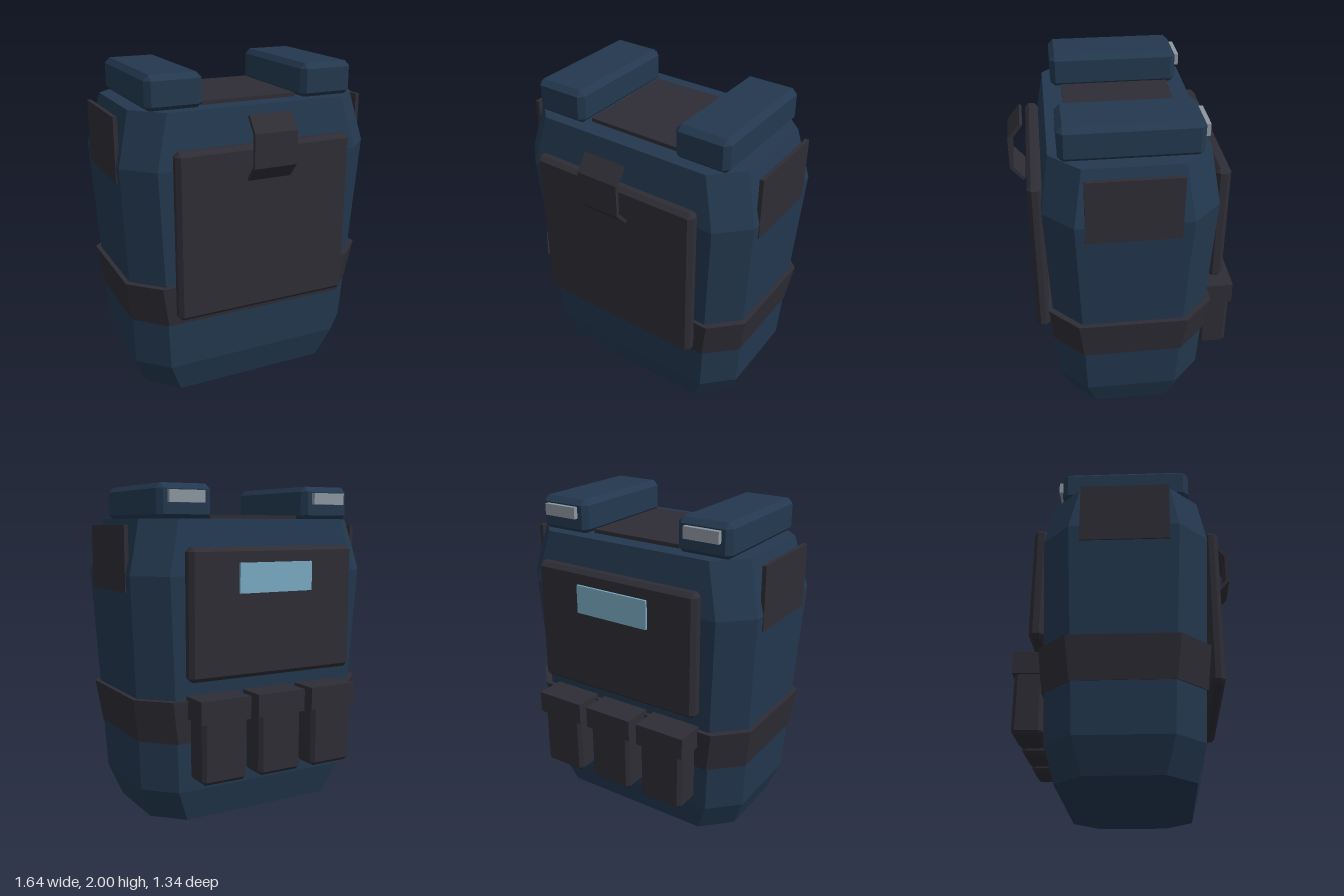
import * as THREE from 'three';
import { ConvexGeometry } from 'three/addons/geometries/ConvexGeometry.js';

const mat = (name, color) => {
  const m = new THREE.MeshStandardMaterial({ color });
  m.name = name;
  return m;
};

// Eight-sided loft with flat facets; each ring is [y, halfX, halfZ, cornerCut]
function loft(rings, cz) {
  const loops = rings.map(([y, x, z, c]) => [
    [x, z - c], [x - c, z], [c - x, z], [-x, z - c],
    [-x, c - z], [c - x, -z], [x - c, -z], [x, c - z],
  ].map(([px, pz]) => [px, y, pz + cz]));
  const pos = [];
  const tri = (a, b, c) => pos.push(...a, ...b, ...c);
  for (let r = 0; r < loops.length - 1; r++) {
    const lo = loops[r], hi = loops[r + 1];
    for (let i = 0; i < 8; i++) {
      const j = (i + 1) % 8;
      tri(lo[i], hi[j], lo[j]);
      tri(lo[i], hi[i], hi[j]);
    }
  }
  const bottom = loops[0], top = loops[loops.length - 1];
  for (let i = 1; i < 7; i++) {
    tri(bottom[0], bottom[i], bottom[i + 1]);
    tri(top[0], top[i + 1], top[i]);
  }
  const g = new THREE.BufferGeometry();
  g.setAttribute('position', new THREE.Float32BufferAttribute(pos, 3));
  g.computeVertexNormals();
  return g;
}

// Box with every edge cut at 45 degrees
function chamferBox(w, h, d, c) {
  const pts = [];
  for (const sx of [-1, 1]) for (const sy of [-1, 1]) for (const sz of [-1, 1]) {
    const x = sx * w / 2, y = sy * h / 2, z = sz * d / 2;
    pts.push(
      new THREE.Vector3(x, y - sy * c, z - sz * c),
      new THREE.Vector3(x - sx * c, y, z - sz * c),
      new THREE.Vector3(x - sx * c, y - sy * c, z),
    );
  }
  return new ConvexGeometry(pts);
}

export function createModel() {
  const group = new THREE.Group();
  group.name = 'armourVest';
  const navy = mat('navy', 0x23384f);
  const dark = mat('charcoal', 0x2e2d35);
  const grey = mat('lightGrey', 0x8c96a0);
  const blue = mat('paleBlue', 0x78aac2);

  const add = (name, geometry, material) => {
    const m = new THREE.Mesh(geometry, material);
    m.name = name;
    group.add(m);
    return m;
  };
  // Plain or chamfered box given by its extents on each axis
  const block = (name, material, [x0, x1], [y0, y1], [z0, z1], c = 0) => {
    const s = [x1 - x0, y1 - y0, z1 - z0];
    const m = add(name, c ? chamferBox(...s, c) : new THREE.BoxGeometry(...s), material);
    m.position.set((x0 + x1) / 2, (y0 + y1) / 2, (z0 + z1) / 2);
    return m;
  };

  // Torso shell and belt
  add('torso', loft([
    [0, 0.67, 0.395, 0.17],
    [0.2, 0.748, 0.448, 0.17],
    [1.48, 0.815, 0.5, 0.17],
    [1.8, 0.735, 0.45, 0.17],
  ], -0.008), navy);
  add('belt', loft([
    [0.505, 0.768, 0.472, 0.175],
    [0.765, 0.806, 0.497, 0.172],
  ], -0.01), dark);

  // Chest and back plates
  block('chestPlate', dark, [-0.56, 0.56], [0.57, 1.597], [0.482, 0.566], 0.025);
  block('backPlate', dark, [-0.56, 0.56], [0.88, 1.642], [-0.588, -0.498], 0.025);
  block('backStrip', blue, [-0.248, 0.248], [1.377, 1.552], [-0.602, -0.586]);
  block('collarPanel', dark, [-0.305, 0.305], [1.79, 1.823], [-0.345, 0.325]);

  // Shoulder pads with rear lamps, and side panels
  for (const s of [-1, 1]) {
    const side = s > 0 ? 'left' : 'right';
    const span = (a, b) => (s > 0 ? [a, b] : [-b, -a]);
    block(side + 'ShoulderPad', navy, span(0.32, 0.665), [1.792, 2], [-0.405, 0.39], 0.032);
    block(side + 'ShoulderLamp', grey, span(0.382, 0.608), [1.89, 1.96], [-0.434, -0.4]);
    block(side + 'SidePanel', dark, span(0.793, 0.818), [1.38, 1.765], [-0.272, 0.265]);
  }

  // Belt pouches with flaps
  [-0.377, 0, 0.377].forEach((x, i) => {
    block('pouch' + (i + 1), dark, [x - 0.145, x + 0.145], [0.29, 0.72], [-0.66, -0.482], 0.022);
    block('pouchFlap' + (i + 1), dark, [x - 0.162, x + 0.162], [0.655, 0.79], [-0.67, -0.485]);
  });

  // Bent strap standing off the chest plate: side profile in (z, y), extruded along x
  const profile = new THREE.Shape([
    [0.592, 1.782], [0.668, 1.685], [0.668, 1.485], [0.592, 1.398],
    [0.578, 1.412], [0.646, 1.493], [0.646, 1.676], [0.576, 1.768],
  ].map(([z, y]) => new THREE.Vector2(z, y)));
  const strap = new THREE.ExtrudeGeometry(profile, { depth: 0.27, bevelEnabled: false });
  strap.rotateY(-Math.PI / 2);
  strap.translate(0.135, 0, 0);
  add('chestStrap', strap, dark);

  return group;
}
